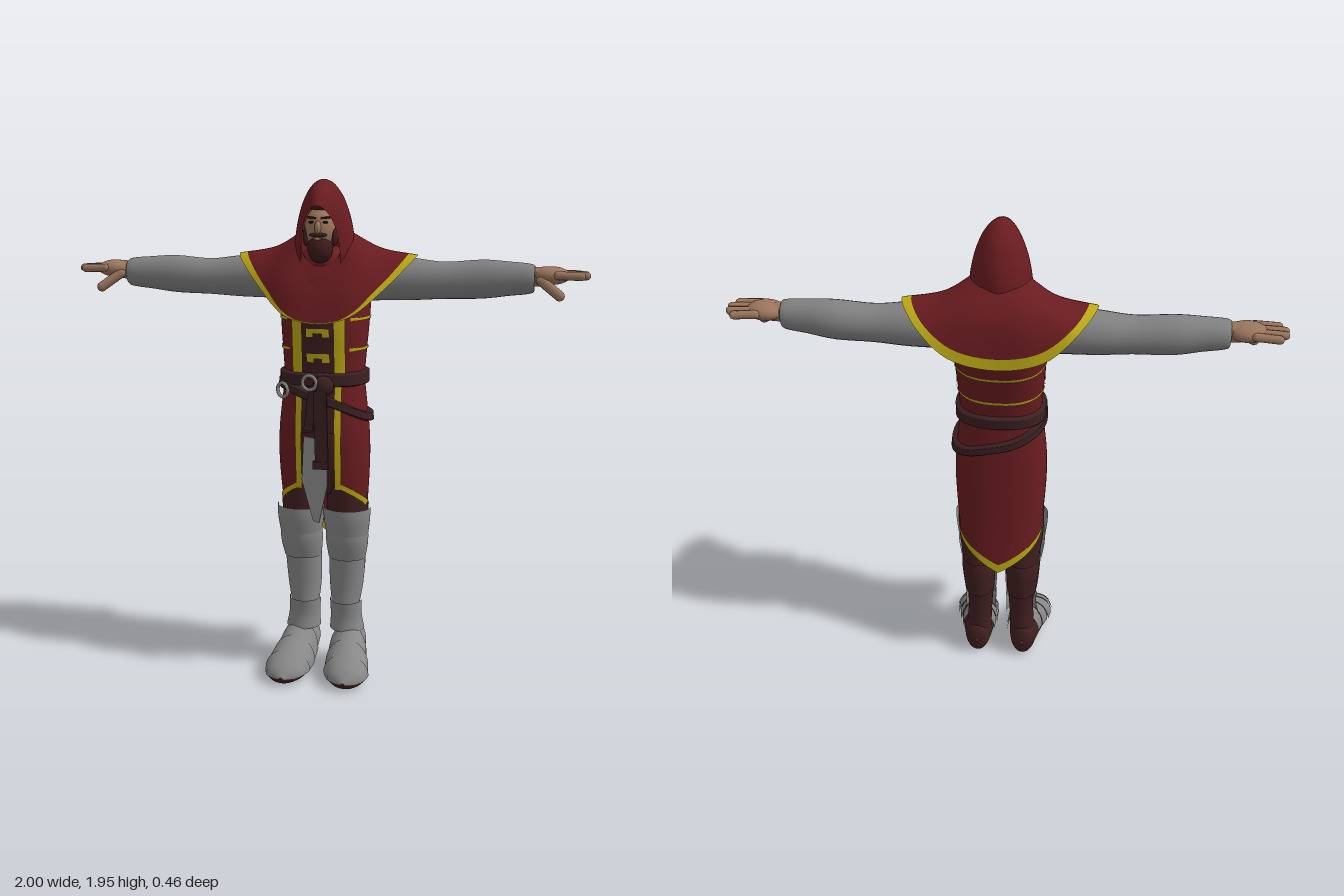
import * as THREE from 'three';

const mat = (name, color) => new THREE.MeshStandardMaterial({ name, color, side: THREE.DoubleSide });
const M = {
  red: mat('red cloth', 0x6a1c20), gold: mat('gold trim', 0xbdaa16), sleeve: mat('grey cloth', 0x828282),
  steel: mat('steel', 0x898989), skin: mat('skin', 0x9c765d), dark: mat('dark maroon', 0x411f20),
  leather: mat('leather', 0x3b2022), hair: mat('dark hair', 0x3f1c1c), black: mat('eye black', 0x1c1414),
};
const { lerp, clamp } = THREE.MathUtils;
const PI = Math.PI;

// Grid surface from f(u, v) -> [x, y, z]; closed joins u = 1 back to u = 0
function surf(nu, nv, f, closed = false) {
  const pos = [], idx = [], cols = closed ? nu : nu + 1;
  for (let j = 0; j <= nv; j++) for (let i = 0; i < cols; i++) pos.push(...f(i / nu, j / nv));
  for (let j = 0; j < nv; j++) for (let i = 0; i < nu; i++) {
    const a = j * cols + i, b = j * cols + (i + 1) % cols, c = a + cols, d = b + cols;
    idx.push(a, b, c, b, d, c);
  }
  const g = new THREE.BufferGeometry();
  g.setAttribute('position', new THREE.Float32BufferAttribute(pos, 3));
  g.setIndex(idx);
  g.computeVertexNormals();
  return g;
}

// Smooth interpolation through rows of numbers, t from 0 to 1
function sample(rows, t) {
  const n = rows.length - 1, k = Math.min(Math.floor(t * n), n - 1), f = t * n - k;
  const r = i => rows[clamp(i, 0, n)];
  return rows[0].map((_, c) => {
    const [p, a, b, q] = [r(k - 1)[c], r(k)[c], r(k + 1)[c], r(k + 2)[c]];
    return a + 0.5 * f * (b - p + f * (2 * p - 5 * a + 4 * b - q + f * (3 * (a - b) + q - p)));
  });
}

// Elliptic loft; row = [along, centre1, radius1, centre2, radius2]
function loft(rows, axis, a0 = 0, a1 = 2 * PI, nu = 24) {
  return surf(nu, (rows.length - 1) * 4, (u, v) => {
    const [t, c1, r1, c2, r2] = sample(rows, v), a = lerp(a0, a1, u);
    const p = c1 + r1 * Math.cos(a), q = c2 + r2 * Math.sin(a);
    return axis === 'y' ? [p, t, q] : axis === 'x' ? [t, p, q] : [p, q, t];
  }, a1 - a0 > 6.28);
}

const ball = (x, y, z, a, b, c) => new THREE.SphereGeometry(1, 20, 14).scale(a, b, c).translate(x, y, z);
const box = (w, h, d, x, y, z, tilt = 0) => new THREE.BoxGeometry(w, h, d).rotateZ(tilt).translate(x, y, z);
function limb(a, b, r) {
  const A = new THREE.Vector3(...a), d = new THREE.Vector3(...b).sub(A), len = d.length();
  const q = new THREE.Quaternion().setFromUnitVectors(new THREE.Vector3(0, 1, 0), d.clone().normalize());
  return new THREE.CapsuleGeometry(r, len, 4, 10).applyQuaternion(q).translate(...A.addScaledVector(d, 0.5).toArray());
}
function mirrored(g) {
  const m = g.clone().scale(-1, 1, 1), ix = m.index.array;
  for (let i = 0; i < ix.length; i += 3) [ix[i], ix[i + 1]] = [ix[i + 1], ix[i]];
  return m;
}

// Coat body: [y, half width, front z, back z], phi = 0 at the front, PI at the back
const COAT = [[1.7, .11, .03, -.15], [1.6, .165, .09, -.2], [1.5, .17, .12, -.21], [1.4, .167, .12, -.18],
  [1.3, .16, .11, -.155], [1.2, .155, .105, -.14], [1.1, .165, .113, -.14], [1.0, .175, .118, -.145],
  [.9, .178, .115, -.15], [.8, .174, .105, -.155], [.7, .167, .085, -.16], [.6, .158, .06, -.168], [.5, .15, .05, -.175]];
const coatRow = y => sample(COAT, clamp((1.7 - y) / 1.2, 0, 1));
const pw = v => Math.sign(v) * Math.abs(v) ** 0.82;
function coat(phi, y, off = 0) {
  const [, hx, zf, zb] = coatRow(y);
  return [(hx + off) * pw(Math.sin(phi)), y, (zf + zb) / 2 + ((zf - zb) / 2 + off) * pw(Math.cos(phi))];
}
const phiAt = (x, y) => Math.sign(x) * Math.asin((Math.abs(x) / coatRow(y)[1]) ** (1 / 0.82));
const patch = (x0, x1, y0, y1, off, n = 6) => surf(6, n, (u, v) => {
  const y = lerp(y0, y1, v);
  return coat(phiAt(lerp(x0, x1, u), y), y, off);
});
function skirt(v0, v1, off) {
  return surf(64, 20, (u, v) => {
    const hem = .51 + .275 * Math.abs(2 * u - 1) ** .9, y = lerp(1.2, hem, lerp(v0, v1, v));
    const p = phiAt(.066, y);
    return coat(lerp(p, 2 * PI - p, u), y, off);
  });
}
const belt = (yc, h, off) => surf(48, 10, (u, v) => {
  const phi = u * 2 * PI;
  return coat(phi, yc(phi) + h * (v - .5), off * Math.min(1, 10 * Math.min(v, 1 - v)));
}, true);

// Shoulder cape: neck, middle and edge loops, front to back on one side
const loop = pts => new THREE.CatmullRomCurve3(
  [...pts, ...pts.slice(1, -1).reverse().map(([x, y, z]) => [-x, y, z])].map(p => new THREE.Vector3(...p)), true);
const CAPE = [
  loop([[0, 1.625, .075], [.055, 1.65, .06], [.088, 1.72, .02], [.098, 1.75, -.03], [.08, 1.75, -.08], [.045, 1.75, -.105], [0, 1.75, -.11]]),
  loop([[0, 1.52, .12], [.11, 1.55, .11], [.18, 1.62, .05], [.2, 1.69, -.05], [.19, 1.68, -.14], [.11, 1.66, -.185], [0, 1.65, -.195]]),
  loop([[0, 1.42, .145], [.12, 1.445, .137], [.235, 1.54, .065], [.348, 1.665, -.06], [.285, 1.615, -.188], [.17, 1.515, -.223], [0, 1.475, -.222]])];
function cape(trim) {
  return surf(72, trim ? 3 : 14, (u, v) => {
    const s = Math.abs(2 * u - 1);
    const split = 1 - lerp(.15, .03, clamp((s - .72) * 6, 0, 1));
    return sample(CAPE.map(c => c.getPoint(u % 1).toArray()), trim ? lerp(split, 1, v) : split * v);
  }, true);
}

// Hood arches from rim to nape: [top z, bottom z, half width, top y, bottom y]
const HOOD = [[.145, .065, .076, 1.85, 1.6], [.095, .04, .1, 1.912, 1.62], [0, 0, .115, 1.945, 1.65],
  [-.07, -.055, .11, 1.905, 1.66], [-.112, -.1, .085, 1.83, 1.66], [-.132, -.12, .05, 1.75, 1.66], [-.13, -.125, 0, 1.69, 1.66]];
const hood = () => surf(36, 28, (u, v) => {
  const [zt, zb, w, yt, yb] = sample(HOOD, v), s = Math.sin(u * PI) ** lerp(.75, 1, Math.min(1, 4 * v));
  return [w * Math.cos(u * PI), lerp(yb, yt, s), lerp(zb, zt, s ** 3)];
});

export function createModel() {
  const root = new THREE.Group(), body = new THREE.Group(), arms = new THREE.Group();
  root.name = 'hoodedFigure';
  body.name = 'body';
  arms.name = 'arms';
  body.position.x = .013;
  root.add(body, arms);
  const add = (name, g, m, parent = body) => {
    const mesh = new THREE.Mesh(g, m);
    mesh.name = name;
    parent.add(mesh);
  };
  const both = (name, g, m, parent) => { add(name + 'Left', g, m, parent); add(name + 'Right', mirrored(g), m, parent); };

  // Head
  add('hood', hood(), M.red);
  add('neckCloth', ball(0, 1.635, -.02, .1, .07, .095), M.red);
  add('head', ball(0, 1.762, .034, .066, .09, .08), M.skin);
  add('nose', ball(0, 1.772, .115, .012, .024, .016), M.skin);
  add('beard', ball(0, 1.695, .07, .048, .056, .053), M.hair);
  both('sideburn', ball(.054, 1.735, .068, .012, .035, .02), M.hair);
  add('moustache', ball(0, 1.744, .108, .034, .008, .013), M.hair);
  add('mouth', ball(0, 1.73, .117, .017, .005, .006), M.skin);
  add('foreheadShade', ball(0, 1.85, .045, .05, .022, .056), M.hair);
  both('brow', box(.034, .008, .012, .026, 1.806, .101, .12), M.hair);
  both('eye', ball(.026, 1.79, .104, .011, .005, .004), M.black);

  // Cape and coat
  add('cape', cape(false), M.red);
  add('capeTrim', cape(true), M.gold);
  add('coatBody', surf(48, 20, (u, v) => coat(u * 2 * PI, lerp(1.66, 1.18, v)), true), M.red);
  add('coatSkirt', skirt(0, 1, 0), M.red);
  add('hemTrim', skirt(.945, 1, .005), M.gold);
  add('hemTrimInside', skirt(.945, 1, -.004), M.gold);
  add('frontPanel', patch(-.066, .066, 1.45, 1.0, .003, 14), M.dark);
  both('frontTrimUpper', patch(.06, .098, 1.45, 1.2, .006, 12), M.gold);
  both('frontTrimLower', patch(.062, .086, 1.2, .775, .006, 20), M.gold);
  for (const y of [1.385, 1.29]) {
    add('clasp', patch(-.042, .042, y + .015, y - .003, .008, 2), M.gold);
    both('claspEnd', patch(.016, .042, y - .003, y - .018, .008, 2), M.gold);
  }
  for (const y0 of [1.44, 1.325]) {
    add('bodyStripe', surf(40, 2, (u, v) => {
      const phi = lerp(.7, 2 * PI - .7, u);
      return coat(phi, y0 - .025 * Math.max(0, -Math.cos(phi)) - .012 * v, .004);
    }), M.gold);
  }

  // Belts, straps and blade
  add('upperBelt', belt(() => 1.205, .055, .016), M.leather);
  add('lowerBelt', belt(p => 1.115 - .065 * Math.sin(p) + .02 * Math.cos(p), .038, .02), M.leather);
  add('beltKnot', ball(.025, 1.185, .132, .04, .04, .028), M.leather);
  add('hangingStrap', box(.05, .3, .014, .02, 1.02, .152, .03), M.leather);
  add('shortStrap', box(.035, .17, .014, -.02, 1.1, .145, -.12), M.leather);
  add('strapTip', box(.054, .03, .018, .017, .885, .154), M.dark);
  for (const [x, y, z] of [[-.025, 1.2, .15], [-.14, 1.16, .1]])
    add('buckle', new THREE.TorusGeometry(.027, .007, 8, 20).rotateY(x * 4).translate(x, y, z), M.steel);
  const blade = new THREE.Shape([[-.05, .99], [-.058, .82], [-.014, .66], [.01, .65], [.042, .8], [.04, .98]]
    .map(p => new THREE.Vector2(...p)));
  const bladeGeo = new THREE.ExtrudeGeometry(blade, { depth: .01, bevelEnabled: false });
  add('hangingBlade', bladeGeo.translate(0, 0, .13), M.steel);

  // Arms and hands
  both('sleeve', loft([[.1, 1.56, .08, -.08, .085], [.22, 1.575, .085, -.085, .086], [.34, 1.573, .08, -.088, .078],
    [.46, 1.57, .07, -.086, .068], [.6, 1.577, .073, -.087, .067], [.7, 1.581, .064, -.08, .057],
    [.79, 1.583, .053, -.075, .048], [.79, 1.585, .03, -.075, .03]], 'x'), M.sleeve, arms);
  both('wrist', limb([.76, 1.59, -.075], [.83, 1.592, -.075], .036), M.skin, arms);
  both('palm', ball(.855, 1.596, -.075, .072, .034, .055), M.skin, arms);
  [.96, .982, .984, .965].forEach((tip, i) => {
    const z = -.122 + i * .031;
    both('finger', limb([.88, 1.6, z], [tip, 1.597, z * 1.05], .0155), M.skin, arms);
  });
  both('thumb', limb([.82, 1.58, -.04], [.89, 1.527, -.008], .019), M.skin, arms);

  // Trousers and boots
  add('trouserSeat', loft([[1.2, 0, .12, -.02, .09], [1.0, 0, .15, -.015, .11], [.85, 0, .14, -.02, .1], [.74, 0, .07, -.03, .07]], 'y'), M.dark);
  both('leg', loft([[.95, .085, .078, -.02, .085], [.72, .09, .082, -.025, .08], [.6, .092, .078, -.03, .078],
    [.5, .09, .068, -.045, .072], [.4, .088, .064, -.058, .072], [.3, .085, .053, -.055, .062],
    [.2, .088, .05, -.056, .054], [.08, .095, .055, -.06, .055]], 'y'), M.dark);
  both('bootCuff', loft([[.5, .09, .068, -.05, .082], [.44, .09, .068, -.056, .08], [.33, .087, .06, -.058, .07]], 'y', PI, 2 * PI), M.dark);
  both('boot', loft([[-.125, .095, .008, .08, .01], [-.112, .096, .042, .08, .068], [-.05, .098, .06, .08, .08],
    [.05, .107, .072, .048, .048], [.15, .12, .078, .03, .03], [.21, .124, .05, .03, .026], [.232, .124, .005, .035, .005]], 'z'), M.dark);

  // Leg armour: overlapping front plates
  const plates = {
    kneeUpper: [[.575, .093, .084, -.008, .078], [.64, .093, .092, 0, .083], [.685, .092, .094, .002, .083]],
    kneeLower: [[.47, .09, .074, -.025, .07], [.54, .092, .084, -.012, .078], [.61, .093, .083, -.005, .078]],
    shin: [[.27, .083, .056, -.035, .058], [.36, .086, .068, -.04, .064], [.5, .09, .074, -.032, .07]],
    ankle: [[.165, .09, .07, -.035, .068], [.22, .086, .063, -.035, .06], [.285, .084, .064, -.035, .067]],
  };
  for (const [name, rows] of Object.entries(plates)) both(name, loft(rows, 'y', -.1, PI + .1), M.steel);

  // Foot armour: [z, centre x, half width, base y, height]
  const FOOT = [[-.07, .095, .064, .1, .09], [0, .1, .073, .07, .115], [.07, .109, .083, .045, .1],
    [.14, .118, .086, .035, .075], [.2, .123, .064, .03, .045], [.236, .123, .008, .03, .008]];
  for (let k = 0; k < 5; k++) {
    both('footPlate', surf(20, 6, (u, v) => {
      const [z, x, w, y, h] = sample(FOOT, (k + v * 1.1) / 5.1), a = u * PI, s = 1.05 - .06 * v;
      return [x + w * s * Math.cos(a), y + h * s * Math.sin(a), z];
    }), M.steel);
  }
  return root;
}
